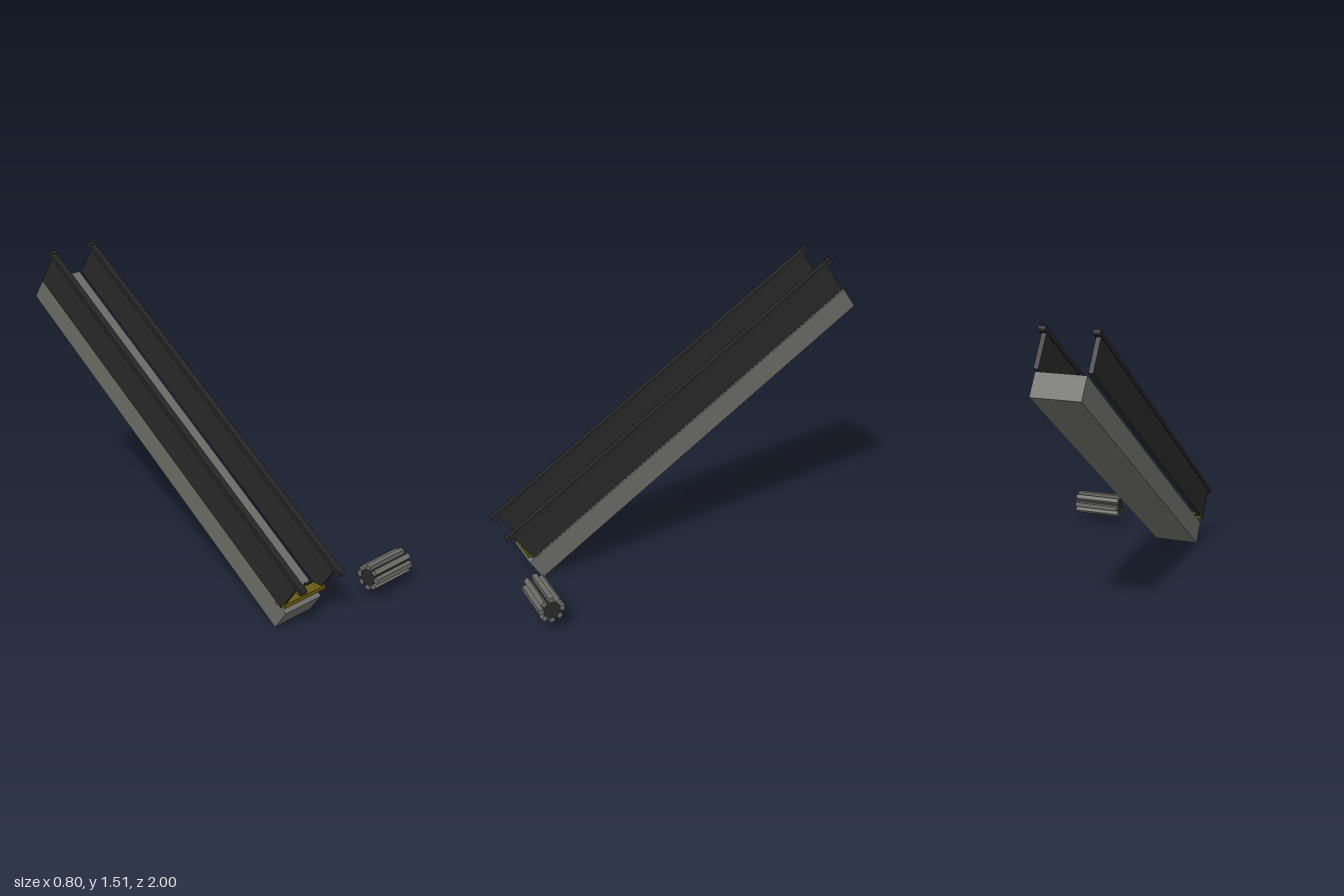
import * as THREE from 'three';

const mat = (name, color) => new THREE.MeshStandardMaterial({ name, color });

export function createModel() {
  const model = new THREE.Group();
  model.name = 'escalator';
  const gray = mat('warm gray metal', 0x6a6a65);
  const black = mat('black panel', 0x282828);
  const rubber = mat('black rubber', 0x262626);
  const yellow = mat('dark yellow', 0x665a10);

  const SLOPE = 0.597;
  const MID = -0.252;

  const add = (name, geo, material, x, y, z, rx = 0, parent = model) => {
    const m = new THREE.Mesh(geo, material);
    m.name = name;
    m.position.set(x, y, z);
    m.rotation.x = rx;
    parent.add(m);
    return m;
  };
  const box = (w, h, d) => new THREE.BoxGeometry(w, h, d);
  // cylinder lying along x
  const rod = (r, len, sides) => new THREE.CylinderGeometry(r, r, len, sides).rotateZ(Math.PI / 2);

  // inclined truss
  add('truss', box(0.243, 0.122, 2.183), gray, MID, 0.664, -0.063, SLOPE);

  // side panels with handrails and rounded handrail ends
  for (const s of [-1, 1]) {
    const side = s > 0 ? 'left' : 'right';
    add(side + 'Balustrade', box(0.023, 0.184, 2.137), black, MID + s * 0.128, 0.81, 0.026, SLOPE);
    const x = MID + s * 0.128;
    add(side + 'Handrail', box(0.035, 0.02, 2.184), rubber, x, 0.882, 0.0775, SLOPE);
    add(side + 'HandrailLowerEnd', rod(0.015, 0.035, 16), rubber, x, 0.267, 0.98);
    add(side + 'HandrailUpperEnd', rod(0.015, 0.035, 16), rubber, x, 1.497, -0.825);
  }

  // landing comb plate with dark teeth along its rear edge
  add('combPlate', box(0.278, 0.02, 0.062), yellow, MID, 0.15, 0.854);
  for (let i = 0; i < 9; i++) {
    add('combTooth', box(0.011, 0.016, 0.02), black, MID + (i - 4) * 0.025, 0.156, 0.818);
  }

  // separate toothed drive roller
  const roller = new THREE.Group();
  roller.name = 'driveRoller';
  roller.position.set(0.267, 0.123, 0.935);
  model.add(roller);
  add('rollerCore', rod(0.044, 0.262, 16), black, 0, 0, 0, 0, roller);
  for (let i = 0; i < 8; i++) {
    const a = (i * Math.PI) / 4;
    add('rollerTooth', box(0.26, 0.03, 0.026), gray, 0, Math.cos(a) * 0.05, Math.sin(a) * 0.05, a, roller);
  }
  return model;
}
